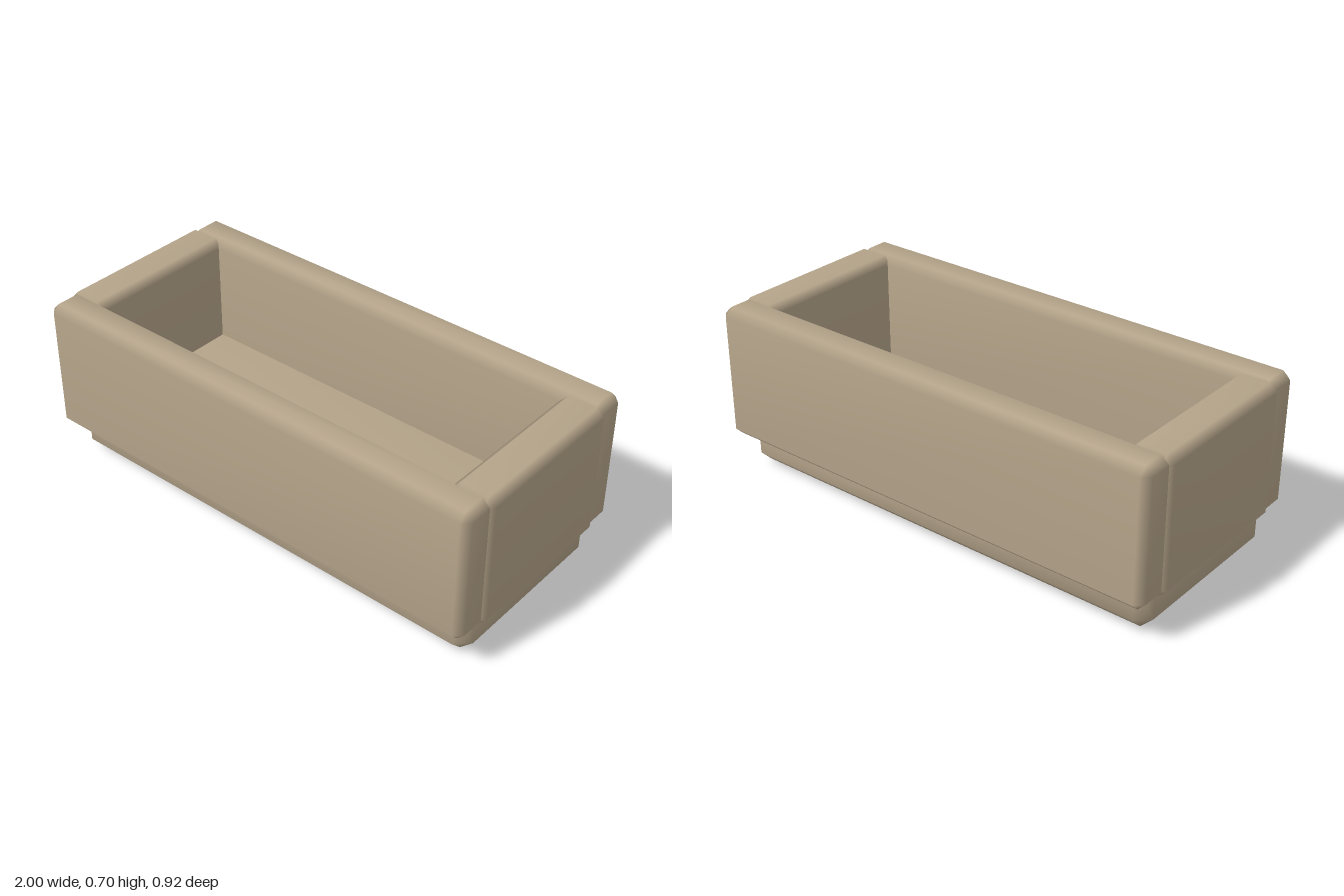
import * as THREE from 'three';
import { ConvexGeometry } from 'three/addons/geometries/ConvexGeometry.js';
import { mergeVertices } from 'three/addons/utils/BufferGeometryUtils.js';

// Box between two corners with a single chamfer on every edge and soft, area-weighted normals
function chamferedBox([x0, y0, z0], [x1, y1, z1], c) {
  const half = [(x1 - x0) / 2, (y1 - y0) / 2, (z1 - z0) / 2];
  const points = [];
  for (const sx of [-1, 1]) for (const sy of [-1, 1]) for (const sz of [-1, 1]) {
    const signs = [sx, sy, sz];
    for (let axis = 0; axis < 3; axis++) {
      // each corner gives one point to each of its three faces
      const p = half.map((h, i) => signs[i] * (i === axis ? h : h - c));
      points.push(new THREE.Vector3(...p));
    }
  }
  let geometry = new ConvexGeometry(points);
  geometry.deleteAttribute('normal');
  geometry = mergeVertices(geometry, 1e-5);
  geometry.computeVertexNormals();
  geometry.translate((x0 + x1) / 2, (y0 + y1) / 2, (z0 + z1) / 2);
  return geometry;
}

export function createModel() {
  const group = new THREE.Group();
  group.name = 'planterBox';
  const tan = new THREE.MeshStandardMaterial({ color: 0xb5a48a });
  tan.name = 'tan';

  const add = (name, min, max, chamfer) => {
    const mesh = new THREE.Mesh(chamferedBox(min, max, chamfer), tan);
    mesh.name = name;
    group.add(mesh);
  };

  // Recessed base, whose top is the floor of the box
  add('base', [-0.96, 0.008, -0.384], [0.96, 0.26, 0.384], 0.052);

  // Long walls
  add('frontWall', [-0.988, 0.155, 0.308], [0.988, 0.705, 0.462], 0.031);
  add('backWall', [-0.988, 0.155, -0.462], [0.988, 0.705, -0.308], 0.031);

  // End walls and the low feet under the base
  for (const [side, s] of [['left', 1], ['right', -1]]) {
    const span = (a, b) => (s > 0 ? [a, b] : [-b, -a]);
    const [w0, w1] = span(0.825, 1);
    add(side + 'Wall', [w0, 0.155, -0.352], [w1, 0.705, 0.352], 0.031);
    const [f0, f1] = span(0.485, 0.74);
    add(side + 'Foot', [f0, 0, -0.329], [f1, 0.05, 0.329], 0.01);
  }
  return group;
}
